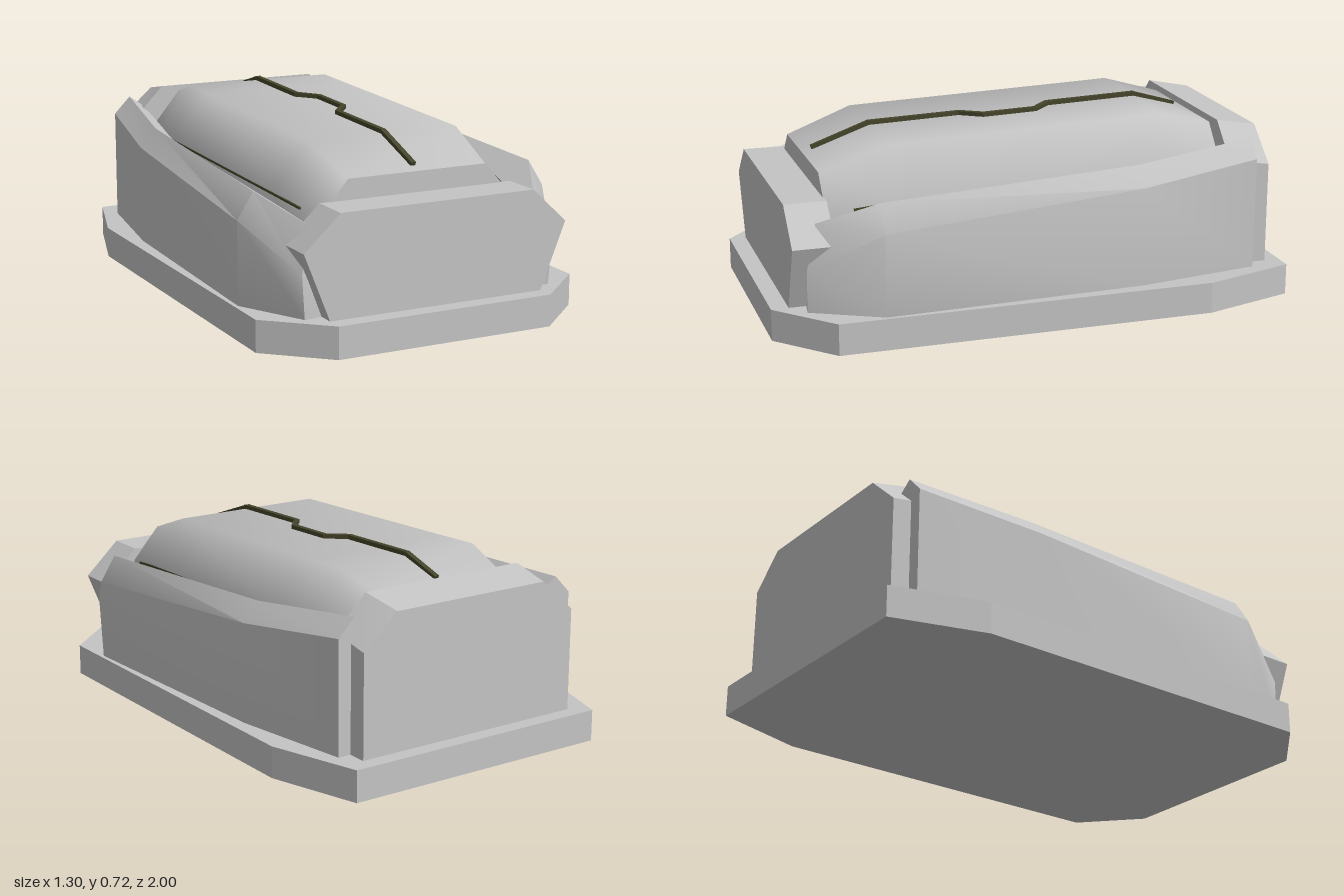
import * as THREE from 'three';
import { toCreasedNormals } from 'three/addons/utils/BufferGeometryUtils.js';

const hull = new THREE.MeshStandardMaterial({ color: 0xc4c4c4 });
hull.name = 'light grey hull';
const olive = new THREE.MeshStandardMaterial({ color: 0x45452b });
olive.name = 'dark olive seam';

function addMesh(parent, name, geometry, material) {
  const mesh = new THREE.Mesh(geometry, material);
  mesh.name = name;
  parent.add(mesh);
  return mesh;
}

// Skins closed rings, ordered front to back, each anticlockwise seen from the front
function loft(rings, crease) {
  const n = rings[0].length, pos = rings.flat(2), index = [];
  const last = (rings.length - 1) * n;
  for (let r = 0; r < rings.length - 1; r++) {
    for (let i = 0; i < n; i++) {
      const a = r * n + i, b = r * n + (i + 1) % n;
      index.push(a, a + n, b, b, a + n, b + n);
    }
  }
  for (let i = 1; i < n - 1; i++) {
    index.push(0, i, i + 1, last, last + i + 1, last + i);
  }
  const g = new THREE.BufferGeometry();
  g.setAttribute('position', new THREE.Float32BufferAttribute(pos, 3));
  g.setIndex(index);
  return toCreasedNormals(g, crease);
}

// Completes a right-hand half section, listed bottom to top, on the other side
function symmetricRing(half, z) {
  const left = half.map(([x, y]) => [-x, y]).reverse();
  return [...half, ...left].map(([x, y]) => [x, y, z]);
}

const mirrorRing = ring => ring.map(([x, y, z]) => [-x, y, z]).reverse();

// Square bars laid end to end along a path
function seam(name, points, width, height) {
  const group = new THREE.Group();
  group.name = name;
  for (let i = 0; i < points.length - 1; i++) {
    const a = new THREE.Vector3(...points[i]), b = new THREE.Vector3(...points[i + 1]);
    const bar = addMesh(group, 'seamBar',
      new THREE.BoxGeometry(width, height, a.distanceTo(b) + width * 0.5), olive);
    bar.position.lerpVectors(a, b, 0.5);
    bar.lookAt(b);
  }
  return group;
}

export function createModel() {
  const model = new THREE.Group();
  model.name = 'armouredCapsule';

  // Base plate with cut corners
  const outline = [[0.43, 1], [0.65, 0.8], [0.65, -0.64], [0.54, -1]];
  const full = [...outline, ...outline.map(([x, z]) => [-x, z]).reverse()];
  const baseGeo = new THREE.ExtrudeGeometry(
    new THREE.Shape(full.map(([x, z]) => new THREE.Vector2(x, -z))),
    { depth: 0.12, bevelEnabled: false });
  baseGeo.rotateX(-Math.PI / 2);
  addMesh(model, 'basePlate', baseGeo, hull);

  // Front and back end blocks
  const frontHalf = [[0.43, 0.12], [0.53, 0.37], [0.39, 0.5]];
  addMesh(model, 'frontBlock', loft([
    symmetricRing(frontHalf, 0.935), symmetricRing(frontHalf, 0.775),
  ], 0.3), hull);
  addMesh(model, 'backBlock', loft([
    symmetricRing([[0.47, 0.12], [0.47, 0.54], [0.345, 0.667]], -0.775),
    symmetricRing([[0.47, 0.12], [0.47, 0.51], [0.33, 0.635]], -0.94),
  ], 0.3), hull);

  // Softly shaded central lid: z, side width, side height, top width, top height
  const lidSections = [
    [0.78, 0.395, 0.45, 0.28, 0.577],
    [0.52, 0.45, 0.49, 0.31, 0.667],
    [-0.38, 0.455, 0.525, 0.31, 0.694],
    [-0.56, 0.435, 0.53, 0.31, 0.7],
    [-0.78, 0.37, 0.52, 0.27, 0.64],
  ];
  addMesh(model, 'lid', loft(lidSections.map(([z, sx, sy, tx, ty]) =>
    symmetricRing([[sx - 0.02, 0.2], [sx, sy], [tx, ty]], z)), 1.0), hull);

  // Side panels: outer wall, shoulder, ridge and inner slope
  const panel = [
    [[0.5, 0.12, 0.88], [0.51, 0.28, 0.88], [0.46, 0.44, 0.835], [0.4, 0.4, 0.82], [0.36, 0.12, 0.86]],
    [[0.635, 0.12, 0.62], [0.635, 0.43, 0.62], [0.572, 0.53, 0.62], [0.45, 0.45, 0.62], [0.4, 0.12, 0.62]],
    [[0.598, 0.12, -0.38], [0.598, 0.5, -0.38], [0.535, 0.574, -0.38], [0.45, 0.51, -0.38], [0.4, 0.12, -0.38]],
    [[0.522, 0.12, -0.865], [0.522, 0.55, -0.865], [0.456, 0.618, -0.865], [0.395, 0.575, -0.865], [0.36, 0.12, -0.865]],
  ];
  addMesh(model, 'leftPanel', loft(panel, 0.62), hull);
  addMesh(model, 'rightPanel', loft(panel.map(mirrorRing), 0.62), hull);

  // Jogged seam along the top of the lid
  model.add(seam('topSeam', [
    [0, 0.655, -0.73], [0, 0.706, -0.56], [0, 0.695, -0.2], [0.065, 0.692, -0.13],
    [0.065, 0.686, 0.08], [0, 0.683, 0.16], [0, 0.673, 0.52], [0, 0.595, 0.74],
  ], 0.02, 0.02));

  // Thin seams where the lid meets the panels
  for (const s of [-1, 1]) {
    model.add(seam(s > 0 ? 'leftSeam' : 'rightSeam', [
      [s * 0.453, 0.515, -0.38], [s * 0.449, 0.488, 0.52], [s * 0.42, 0.465, 0.68],
    ], 0.008, 0.008));
  }
  return model;
}
